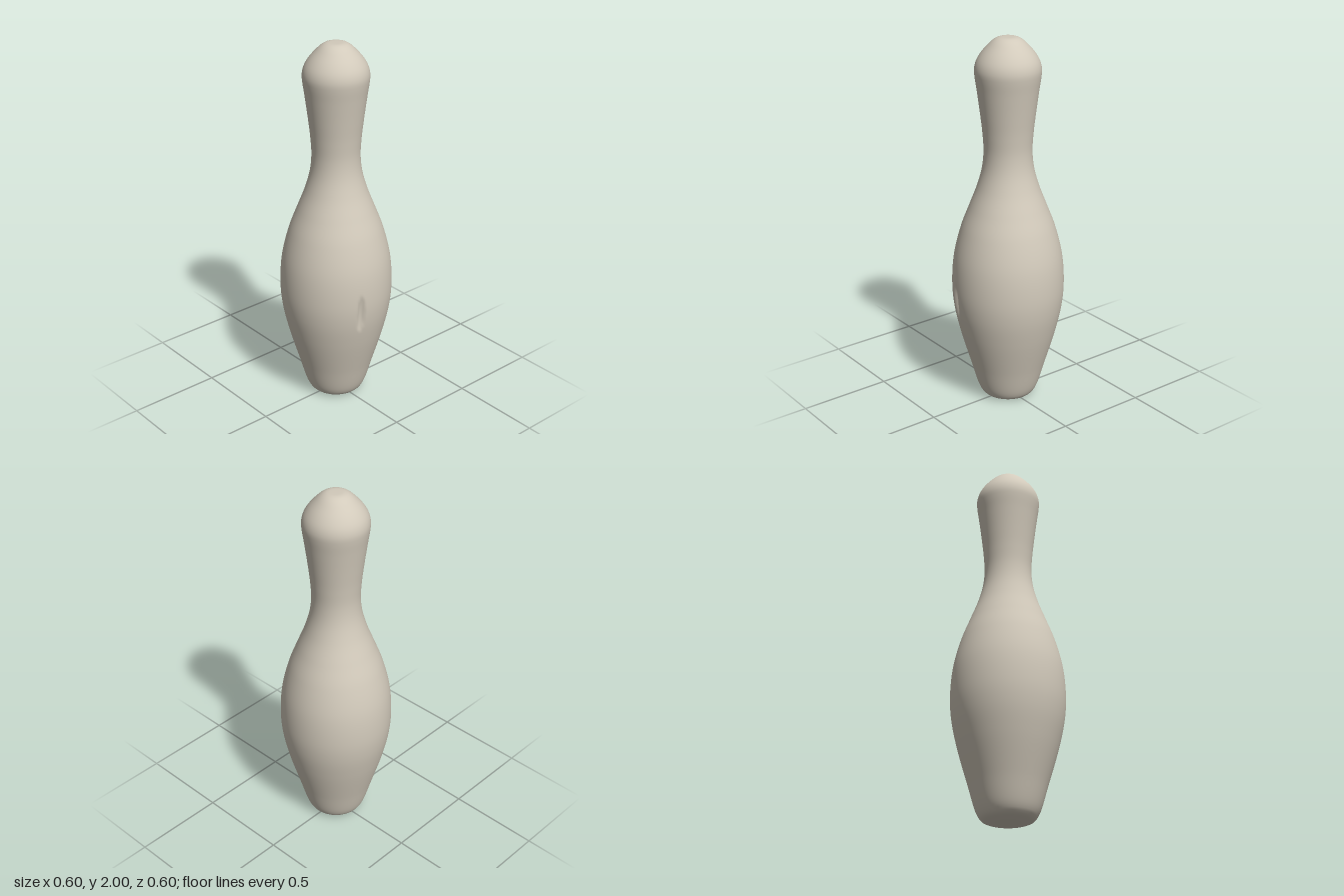
import * as THREE from 'three';
import { mergeVertices } from 'three/addons/utils/BufferGeometryUtils.js';

// Silhouette from base to crown: [radius, height]
const PROFILE = [
  [0, 0], [0.06, 0], [0.1, 0.003], [0.135, 0.014], [0.157, 0.045], [0.205, 0.2],
  [0.262, 0.4], [0.291, 0.54], [0.3, 0.66], [0.289, 0.82], [0.25, 0.98],
  [0.205, 1.1], [0.163, 1.21], [0.136, 1.31], [0.127, 1.4], [0.132, 1.5],
  [0.143, 1.6], [0.16, 1.73], [0.17, 1.8], [0.172, 1.835], [0.163, 1.875],
  [0.139, 1.917], [0.102, 1.96], [0.075, 1.985], [0.05, 1.998], [0.025, 2], [0, 2],
];

// Small tall dent on the left side of the belly
const DENT = { y: 0.6, z: 0.072, halfHeight: 0.11, halfWidth: 0.024, depth: 0.016 };

function pressDent(geometry) {
  const p = geometry.attributes.position;
  for (let i = 0; i < p.count; i++) {
    const x = p.getX(i), y = p.getY(i), z = p.getZ(i);
    if (x <= 0) continue;
    const d = Math.hypot((y - DENT.y) / DENT.halfHeight, (z - DENT.z) / DENT.halfWidth);
    if (d >= 1) continue;
    const r = Math.hypot(x, z);
    const s = 1 - (DENT.depth * (1 - d * d)) / r;
    p.setXYZ(i, x * s, y, z * s);
  }
}

export function createModel() {
  const group = new THREE.Group();
  group.name = 'bowlingPin';

  const ivory = new THREE.MeshStandardMaterial({ color: 0xd2cabb });
  ivory.name = 'warm ivory';

  // Turned body
  const curve = new THREE.CatmullRomCurve3(PROFILE.map(([r, y]) => new THREE.Vector3(r, y, 0)));
  curve.arcLengthDivisions = 800;
  const points = curve.getSpacedPoints(150).map(
    (v) => new THREE.Vector2(Math.max(0, v.x), THREE.MathUtils.clamp(v.y, 0, 2)),
  );
  let geometry = new THREE.LatheGeometry(points, 192);
  pressDent(geometry);

  // Weld the seam so shading stays smooth all round
  geometry.deleteAttribute('uv');
  geometry.deleteAttribute('normal');
  geometry = mergeVertices(geometry, 1e-5);
  geometry.computeVertexNormals();

  const body = new THREE.Mesh(geometry, ivory);
  body.name = 'pinBody';
  group.add(body);
  return group;
}
